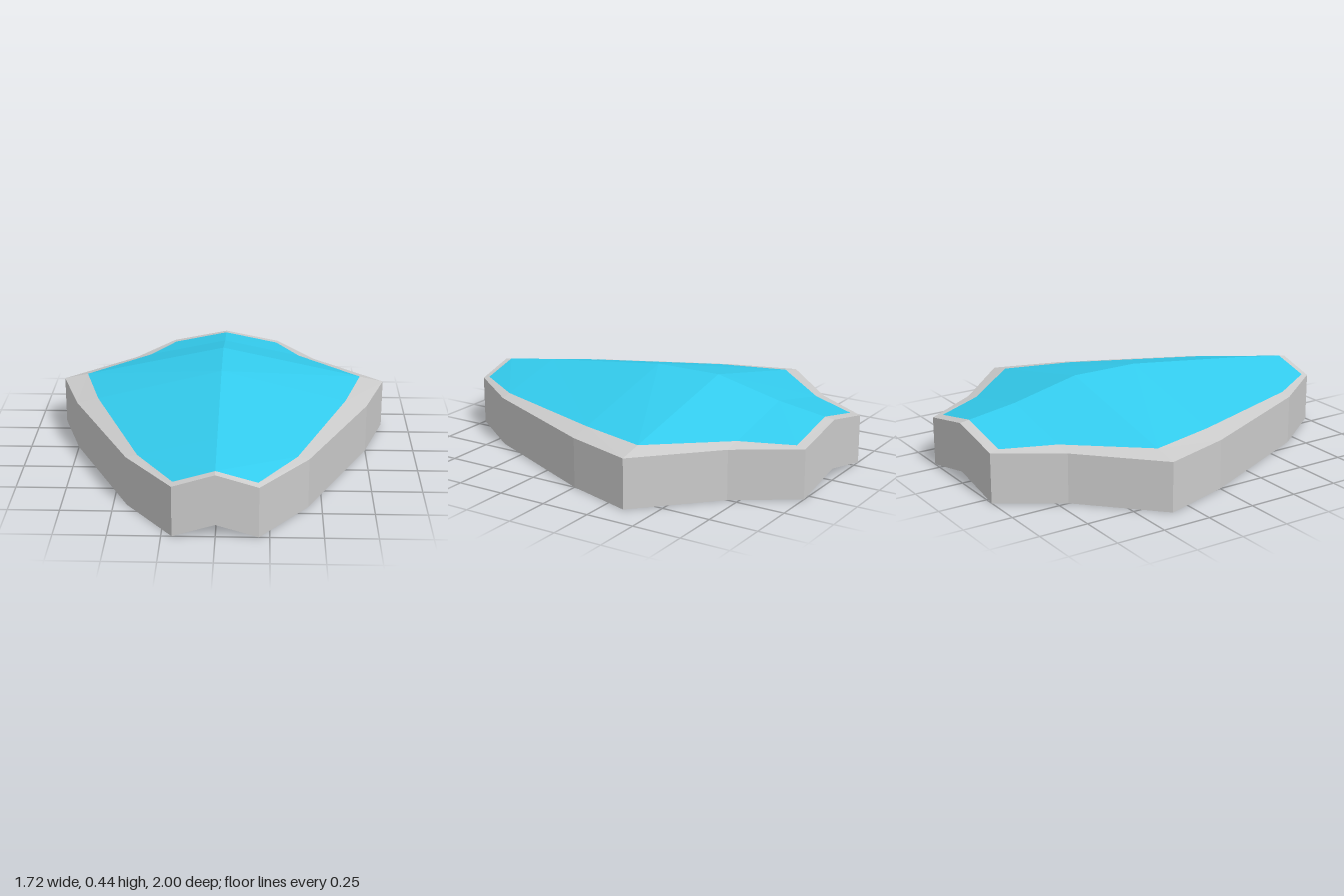
import * as THREE from 'three';

// Stations from front to back: [z, half width, ridge height]
const OUTER = [[1, 0.2, 0.31], [0.68, 0.435, 0.355], [0, 0.75, 0.435], [-0.355, 0.86, 0.435], [-0.7, 0.5, 0.355], [-1, 0.3, 0.31]];
// Coloured panel border on the same surface: [z, half width, edge height, ridge height]
const INNER = [[0.965, 0.195, 0.259, 0.315], [0.68, 0.38, 0.263, 0.355], [0, 0.64, 0.277, 0.435],
  [-0.355, 0.735, 0.277, 0.435], [-0.7, 0.415, 0.268, 0.355], [-0.95, 0.29, 0.257, 0.317]];
const EDGE = 0.25; // rim height, also the thickness of the body

// Quads between two rows of points; mirrored swaps the diagonal, flip turns the faces over
function strip(out, a, b, { closed = false, mirrored = false, flip = false } = {}) {
  const n = a.length;
  for (let i = 0; i < (closed ? n : n - 1); i++) {
    const j = (i + 1) % n;
    const q = [a[i], a[j], b[j], b[i]];
    const tris = mirrored ? [[0, 1, 2], [0, 2, 3]] : [[0, 1, 3], [1, 2, 3]];
    for (const t of tris) for (const k of flip ? t.reverse() : t) out.push(...q[k]);
  }
}

function makeMesh(name, positions, color) {
  const geometry = new THREE.BufferGeometry();
  geometry.setAttribute('position', new THREE.Float32BufferAttribute(positions, 3));
  geometry.computeVertexNormals();
  const mesh = new THREE.Mesh(geometry, new THREE.MeshStandardMaterial({ color, flatShading: true }));
  mesh.name = name;
  return mesh;
}

const lower = (row) => row.map(([x, y, z]) => [x, y - EDGE, z]);
const mirror = (row) => row.map(([x, y, z]) => [-x, y, z]);
// Closed outline: one side, back peak, other side, front peak
const outline = (side, ridge) => [...side, ridge[ridge.length - 1], ...mirror(side).reverse(), ridge[0]];

export function createModel() {
  const group = new THREE.Group();
  group.name = 'facetedShield';

  const outerSide = OUTER.map(([z, w]) => [w, EDGE, z]);
  const outerRidge = OUTER.map(([z, , h]) => [0, h, z]);
  const side = INNER.map(([z, w, y]) => [w, y, z]);
  const ridge = INNER.map(([z, , , h]) => [0, h, z]);
  const outerLoop = outline(outerSide, outerRidge);
  const innerLoop = outline(side, ridge);

  // Upright walls around the outline
  const walls = [];
  strip(walls, lower(outerLoop), outerLoop, { closed: true });
  group.add(makeMesh('sideWalls', walls, 0xcccccc));

  // Grey rims and coloured panels, the underside being a lowered copy of the top
  for (const [prefix, shift, flip] of [['top', (r) => r, false], ['bottom', lower, true]]) {
    const rim = [];
    strip(rim, shift(outerLoop), shift(innerLoop), { closed: true, flip });
    group.add(makeMesh(prefix + 'Rim', rim, 0xcccccc));

    const panel = [];
    strip(panel, shift(side), shift(ridge), { flip });
    strip(panel, shift(ridge), shift(mirror(side)), { mirrored: true, flip });
    group.add(makeMesh(prefix + 'Panel', panel, 0x33ccee));
  }
  return group;
}
